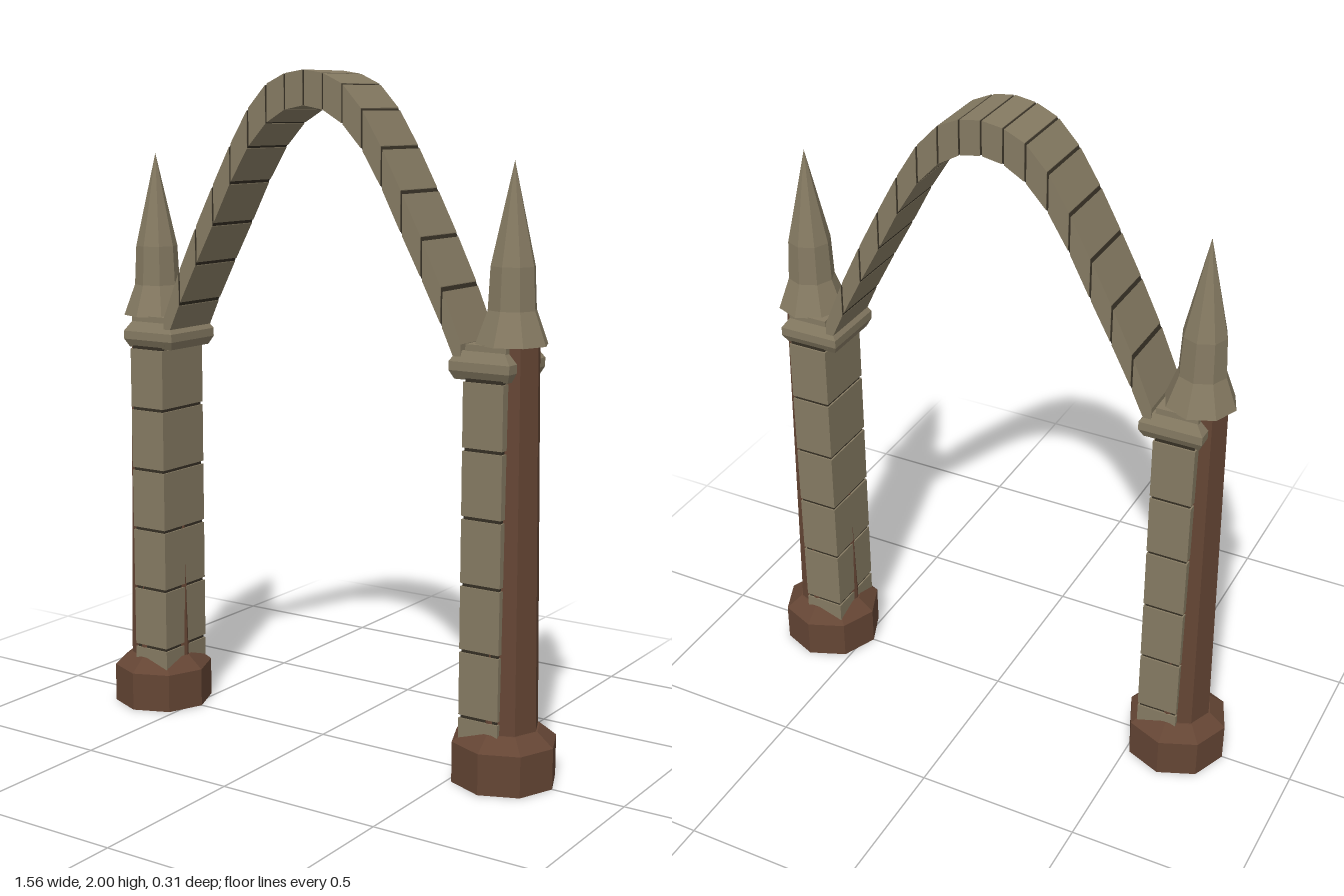
import * as THREE from 'three';

const mat = (name, color) => {
  const m = new THREE.MeshStandardMaterial({ color, flatShading: true });
  m.name = name;
  return m;
};

export function createModel() {
  const stone = mat('stone', 0x857a62);
  const clay = mat('redBrown', 0x644534);
  const joint = mat('darkJoint', 0x352f24);
  const root = new THREE.Group();
  root.name = 'archway';

  const add = (parent, name, geo, material, x = 0, y = 0, z = 0) => {
    const m = new THREE.Mesh(geo, material);
    m.name = name;
    m.position.set(x, y, z);
    parent.add(m);
    return m;
  };
  const box = (parent, name, material, w, y0, y1, d, x) =>
    add(parent, name, new THREE.BoxGeometry(w, y1 - y0, d), material, x, (y0 + y1) / 2);
  // eight-sided turned part from [radius, height] pairs
  const octagon = (pts) =>
    new THREE.LatheGeometry(pts.map(([r, y]) => new THREE.Vector2(r, y)), 8);
  // slab with its top or bottom rectangle drawn in to form a chamfer
  const frustum = (w0, d0, w1, d1, h) => {
    const g = new THREE.BoxGeometry(1, h, 1);
    const p = g.attributes.position;
    for (let i = 0; i < p.count; i++) {
      const top = p.getY(i) > 0;
      p.setX(i, p.getX(i) * (top ? w1 : w0));
      p.setZ(i, p.getZ(i) * (top ? d1 : d0));
    }
    return g;
  };

  // two pillars, mirrored across x
  for (const s of [1, -1]) {
    const pillar = new THREE.Group();
    pillar.name = s > 0 ? 'leftPillar' : 'rightPillar';
    pillar.position.x = s * 0.625;
    root.add(pillar);

    add(pillar, 'base', octagon([[0, 0], [0.155, 0], [0.155, 0.12], [0.105, 0.16], [0, 0.16]]), clay);
    add(pillar, 'shaft', octagon([[0.1, 0.15], [0.082, 1.26]]), clay);
    add(pillar, 'spire', octagon([[0, 1.255], [0.105, 1.255], [0.07, 1.35], [0.064, 1.47], [0, 1.755]]), stone);

    // stacked stone facing on the inner side
    const fx = s * -0.0325;
    box(pillar, 'facingCore', joint, 0.115, 0.11, 1.165, 0.19, fx);
    const courses = [0.1, 0.197, 0.39, 0.582, 0.774, 0.967, 1.16];
    for (let i = 0; i < 6; i++)
      box(pillar, 'facingBlock', stone, 0.125, courses[i] + 0.005, courses[i + 1] - 0.005, 0.2, fx);

    // chamfered capital and the neck above it
    const cx = s * -0.044;
    add(pillar, 'capitalLower', frustum(0.165, 0.185, 0.188, 0.212, 0.025), stone, cx, 1.1725);
    box(pillar, 'capitalMiddle', stone, 0.188, 1.185, 1.21, 0.212, cx);
    add(pillar, 'capitalUpper', frustum(0.188, 0.212, 0.145, 0.185, 0.03), stone, cx, 1.225);
    box(pillar, 'neck', stone, 0.125, 1.235, 1.258, 0.18, fx);
  }

  // arch of stones with upright joints
  const outer = [2, 1.99, 1.96, 1.89, 1.785, 1.665, 1.54, 1.405, 1.25];
  const inner = [1.9, 1.888, 1.85, 1.78, 1.675, 1.55, 1.43, 1.305, 1.165];
  const step = 0.0655;
  const heightAt = (list, x) => {
    const t = Math.min(Math.abs(x) / step, 8);
    const i = Math.min(Math.floor(t), 7);
    return list[i] + (list[i + 1] - list[i]) * (t - i);
  };
  const slice = (x0, x1, depth, inset) => {
    const shape = new THREE.Shape([
      new THREE.Vector2(x0, heightAt(inner, x0) + inset),
      new THREE.Vector2(x1, heightAt(inner, x1) + inset),
      new THREE.Vector2(x1, heightAt(outer, x1) - inset),
      new THREE.Vector2(x0, heightAt(outer, x0) - inset),
    ]);
    return new THREE.ExtrudeGeometry(shape, { depth, bevelEnabled: false });
  };
  const arch = new THREE.Group();
  arch.name = 'arch';
  root.add(arch);
  const gap = 0.003;
  for (let k = -8; k < 8; k++) {
    const x = k * step;
    add(arch, 'archStone', slice(x + gap, x + step - gap, 0.2, 0), stone, 0, 0, -0.1);
    if (k > -8)
      add(arch, 'archJoint', slice(x - gap, x + gap, 0.196, 0.002), joint, 0, 0, -0.098);
  }
  return root;
}
